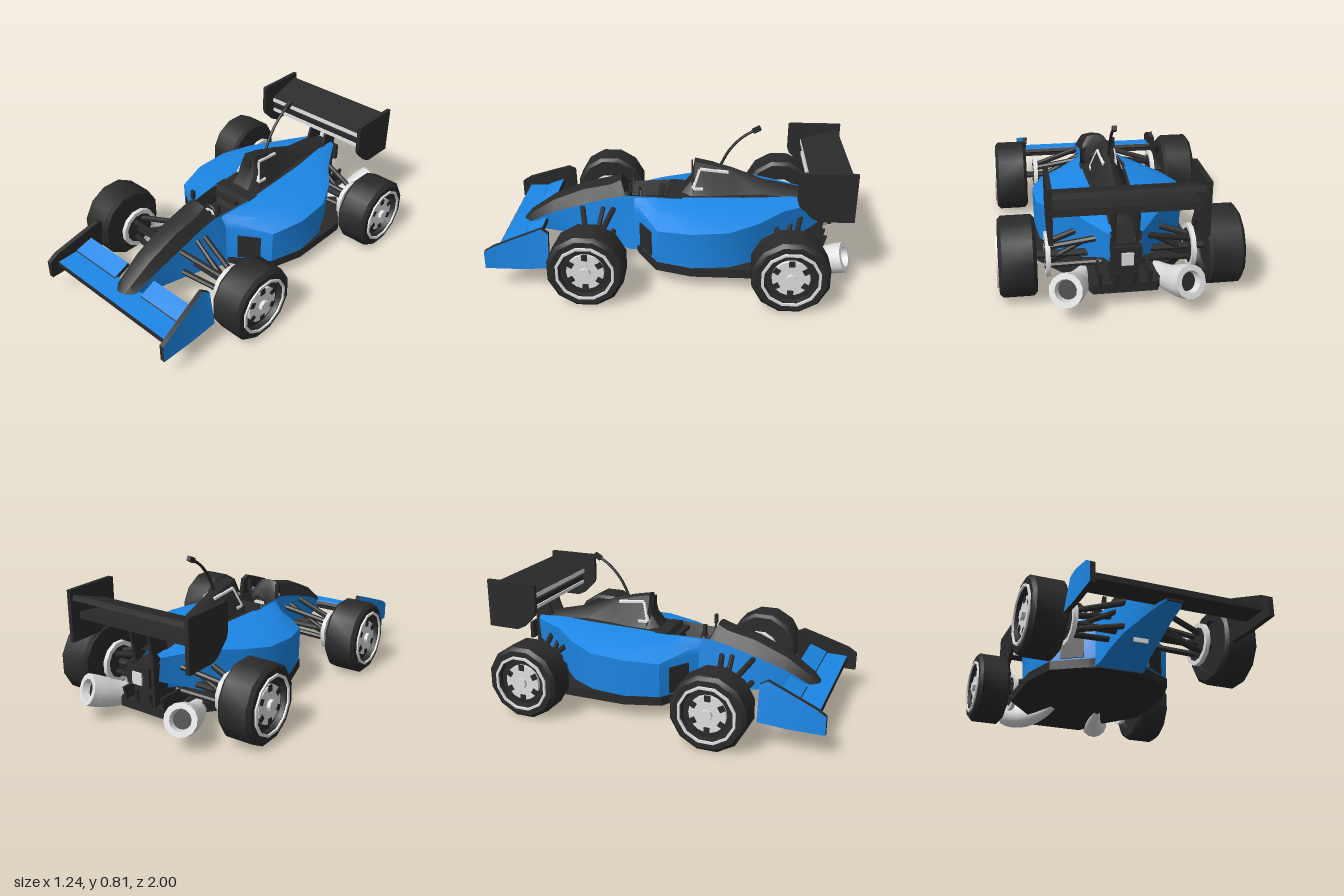
import * as THREE from 'three';
import { toCreasedNormals } from 'three/addons/utils/BufferGeometryUtils.js';

const paint = (name, color) => {
  const m = new THREE.MeshStandardMaterial({ color, side: THREE.DoubleSide });
  m.name = name;
  return m;
};
const V = (x, y, z) => new THREE.Vector3(x, y, z);
const box = (w, h, d, x = 0, y = 0, z = 0) => new THREE.BoxGeometry(w, h, d).translate(x, y, z);

export function createModel() {
  const car = new THREE.Group();
  car.name = 'racingCar';
  const black = paint('black', 0x2a2a2a);
  const blue = paint('blue', 0x1c87e6);
  const grey = paint('lightGrey', 0xe0e0e0);

  const add = (name, geo, mat, parent = car) => {
    const m = new THREE.Mesh(toCreasedNormals(geo, 0.6), mat);
    m.name = name;
    parent.add(m);
    return m;
  };
  const pair = (name, geo, mat) => {
    add(name + 'Left', geo, mat);
    add(name + 'Right', geo, mat).scale.x = -1;
  };
  // Straight tube between two points
  const rod = (a, b, r, sides = 8) => {
    const d = b.clone().sub(a), g = new THREE.CylinderGeometry(r, r, d.length(), sides);
    g.applyQuaternion(new THREE.Quaternion().setFromUnitVectors(V(0, 1, 0), d.clone().normalize()));
    const c = a.clone().add(b).multiplyScalar(0.5);
    return g.translate(c.x, c.y, c.z);
  };
  // Mirrored skin over sections [z, [x, y], ...], each running from top to bottom, front to back
  const loft = (sections, from, to, caps = false) => {
    const pos = [];
    const last = sections.length - 1;
    for (const s of [1, -1]) {
      const p = (i, j) => [s * sections[i][j + 1][0], sections[i][j + 1][1], sections[i][0]];
      const tri = (a, b, c) => pos.push(...a, ...(s > 0 ? b : c), ...(s > 0 ? c : b));
      for (let j = from; j < to; j++) {
        for (let i = 0; i < last; i++) {
          tri(p(i, j), p(i, j + 1), p(i + 1, j + 1));
          tri(p(i, j), p(i + 1, j + 1), p(i + 1, j));
        }
        if (caps) {
          tri(p(0, from), p(0, j + 1), p(0, j));
          tri(p(last, from), p(last, j), p(last, j + 1));
        }
      }
    }
    const g = new THREE.BufferGeometry();
    g.setAttribute('position', new THREE.Float32BufferAttribute(pos, 3));
    return g;
  };
  // Upright plate from a (z, y) outline, starting at x and growing inward
  const plate = (pts, x, t) => {
    const shape = new THREE.Shape(pts.map(q => new THREE.Vector2(q[0], q[1])));
    return new THREE.ExtrudeGeometry(shape, { depth: t, bevelEnabled: false })
      .rotateY(-Math.PI / 2).translate(x, 0, 0);
  };
  // Sloping slab between a front and a back edge
  const slab = (w, x, yF, zF, yB, zB, t, lift = 0) =>
    box(w, t, Math.hypot(yB - yF, zF - zB), 0, lift, 0)
      .rotateX(Math.atan2(yB - yF, zF - zB)).translate(x, (yF + yB) / 2, (zF + zB) / 2);

  // Nose and tub: black top, sunken cockpit, blue flanks
  const tub = [
    [0.895, [0, 0.195], [0.02, 0.193], [0.042, 0.178], [0.036, 0.172], [0, 0.17]],
    [0.84, [0, 0.26], [0.04, 0.25], [0.066, 0.21], [0.055, 0.168], [0, 0.168]],
    [0.70, [0, 0.355], [0.05, 0.345], [0.087, 0.285], [0.075, 0.165], [0, 0.165]],
    [0.52, [0, 0.432], [0.055, 0.422], [0.095, 0.345], [0.105, 0.15], [0, 0.15]],
    [0.36, [0, 0.467], [0.06, 0.46], [0.095, 0.39], [0.12, 0.12], [0, 0.12]],
    [0.30, [0, 0.495], [0.05, 0.485], [0.095, 0.4], [0.125, 0.1], [0, 0.1]],
    [0.27, [0, 0.43], [0.06, 0.43], [0.1, 0.41], [0.13, 0.09], [0, 0.09]],
    [0.25, [0, 0.32], [0.07, 0.33], [0.1, 0.41], [0.135, 0.085], [0, 0.085]],
    [0.06, [0, 0.32], [0.09, 0.33], [0.12, 0.415], [0.15, 0.085], [0, 0.085]],
    [0.02, [0, 0.42], [0.08, 0.42], [0.13, 0.415], [0.15, 0.1], [0, 0.1]],
    [-0.40, [0, 0.43], [0.06, 0.43], [0.13, 0.415], [0.14, 0.1], [0, 0.1]],
    [-0.83, [0, 0.41], [0.03, 0.41], [0.06, 0.4], [0.05, 0.22], [0, 0.2]],
  ];
  add('noseTop', loft(tub, 0, 2), black);
  add('tubSides', loft(tub, 2, 4, true), blue);
  add('noseTip', box(0.09, 0.03, 0.008, 0, 0.182, 0.896), black);
  add('underNosePlate', box(0.08, 0.045, 0.008, 0, 0.146, 0.5), grey);

  // Sidepods sweeping in toward the tail
  const pods = [
    [0.22, [0.1, 0.40], [0.13, 0.36], [0.14, 0.33], [0.14, 0.13]],
    [0.19, [0.11, 0.405], [0.15, 0.365], [0.17, 0.33], [0.17, 0.13]],
    [0.07, [0.12, 0.41], [0.24, 0.38], [0.355, 0.325], [0.35, 0.13]],
    [-0.12, [0.12, 0.42], [0.28, 0.395], [0.41, 0.34], [0.405, 0.13]],
    [-0.32, [0.11, 0.42], [0.27, 0.4], [0.4, 0.35], [0.385, 0.13]],
    [-0.48, [0.1, 0.42], [0.23, 0.405], [0.32, 0.37], [0.3, 0.13]],
    [-0.62, [0.08, 0.42], [0.14, 0.415], [0.205, 0.39], [0.18, 0.16]],
    [-0.83, [0.05, 0.41], [0.065, 0.405], [0.085, 0.39], [0.07, 0.26]],
  ];
  add('sidepods', loft(pods, 0, 3), blue);
  pair('sidepodIntake', box(0.13, 0.15, 0.008).rotateY(0.585).translate(0.245, 0.215, 0.143), black);

  // Flat floor with swept outline
  const half = [[0.12, 0.21], [0.17, 0.19], [0.35, 0.08], [0.41, -0.12], [0.41, -0.48], [0.23, -0.7], [0.16, -0.86]];
  const outline = [...half, ...half.map(([x, z]) => [-x, z]).reverse()];
  const floorShape = new THREE.Shape(outline.map(([x, z]) => new THREE.Vector2(x, -z)));
  add('floor', new THREE.ExtrudeGeometry(floorShape, { depth: 0.05, bevelEnabled: false })
    .rotateX(-Math.PI / 2).translate(0, 0.08, 0), black);

  // Engine cover with air scoop, trim and aerial
  const cover = [
    [-0.045, [0, 0.425], [0.06, 0.42], [0.1, 0.41]],
    [-0.10, [0, 0.5], [0.05, 0.49], [0.1, 0.415]],
    [-0.12, [0, 0.61], [0.032, 0.6], [0.098, 0.42]],
    [-0.22, [0, 0.59], [0.03, 0.58], [0.1, 0.42]],
    [-0.33, [0, 0.56], [0.024, 0.545], [0.09, 0.425]],
    [-0.50, [0, 0.495], [0.022, 0.485], [0.07, 0.425]],
    [-0.78, [0, 0.425], [0.03, 0.42], [0.075, 0.405]],
  ];
  add('engineCover', loft(cover, 0, 2), black);
  add('scoopMouth', box(0.05, 0.07, 0.008, 0, 0.555, -0.105), black);
  const trim = [V(0.082, 0.455, -0.17), V(0.078, 0.455, -0.115), V(0.042, 0.56, -0.15), V(0.031, 0.54, -0.31)];
  for (let i = 0; i < 3; i++) pair('coverTrim' + i, rod(trim[i], trim[i + 1], 0.011, 6), grey);
  const aerial = new THREE.CatmullRomCurve3([V(0, 0.57, -0.265), V(0, 0.66, -0.31), V(0, 0.74, -0.38), V(0, 0.79, -0.455)]);
  add('aerial', new THREE.TubeGeometry(aerial, 10, 0.008, 8), black);
  add('aerialTip', box(0.022, 0.026, 0.045).rotateX(0.5).translate(0, 0.79, -0.46), black);

  // Cockpit fittings
  add('steeringWheel', new THREE.TorusGeometry(0.042, 0.009, 6, 14).translate(0, 0.37, 0.2), black);
  add('steeringSpokes', box(0.075, 0.016, 0.012, 0, 0.375, 0.2), grey);
  add('steeringCentre', box(0.018, 0.04, 0.012, 0, 0.355, 0.2), grey);
  add('steeringColumn', rod(V(0, 0.37, 0.2), V(0, 0.38, 0.28), 0.012), black);
  add('seatBar', box(0.16, 0.02, 0.03, 0, 0.4, 0.07), black);
  pair('mirror', box(0.022, 0.05, 0.018, 0.098, 0.465, 0.24), black);
  pair('mirrorStalk', rod(V(0.085, 0.40, 0.24), V(0.1, 0.45, 0.24), 0.007), black);

  // Front wing, raised between its endplates
  add('frontWing', slab(0.9, 0, 0.193, 0.95, 0.197, 0.805, 0.03), black);
  add('frontWingTop', slab(0.9, 0, 0.193, 0.947, 0.197, 0.805, 0.004, 0.015), blue);
  pair('frontFlap', slab(0.34, 0.275, 0.205, 0.825, 0.25, 0.725, 0.022), black);
  pair('frontFlapTop', slab(0.34, 0.275, 0.2075, 0.82, 0.25, 0.725, 0.005, 0.012), blue);
  const lean = g => {
    const p = g.attributes.position;
    for (let i = 0; i < p.count; i++) p.setX(i, p.getX(i) - Math.max(0, p.getY(i) - 0.265) * 0.42);
    return g;
  };
  const fin = [[1, 0.13], [1, 0.23], [0.95, 0.262], [0.78, 0.325], [0.69, 0.357], [0.65, 0.335], [0.65, 0.14], [0.8, 0.13]];
  pair('frontEndplate', lean(plate(fin, 0.464, 0.024)), black);
  pair('frontEndplateSkin', lean(plate(fin, 0.467, 0.003)), [blue, black]);

  // Rear wing
  add('rearWingUpper', slab(0.73, 0, 0.588, -0.75, 0.655, -0.96, 0.028), black);
  add('rearWingUpperEdge', box(0.72, 0.026, 0.008, 0, 0.586, -0.748), grey);
  add('rearWingLower', slab(0.73, 0, 0.535, -0.76, 0.553, -0.92, 0.035), black);
  add('rearWingLowerEdge', box(0.72, 0.02, 0.008, 0, 0.511, -0.756), grey);
  pair('rearEndplate', plate([[-0.67, 0.69], [-0.68, 0.695], [-0.975, 0.695], [-0.975, 0.42], [-0.79, 0.42], [-0.75, 0.44], [-0.68, 0.51], [-0.67, 0.54]], 0.377, 0.022), black);
  pair('rearWingStrut', plate([[-0.74, 0.4], [-0.79, 0.55], [-0.89, 0.55], [-0.85, 0.34]], 0.065, 0.016), black);

  // Gearbox, tail lamp and diffuser
  add('gearbox', box(0.13, 0.24, 0.18, 0, 0.23, -0.77), black);
  add('tailPlate', box(0.14, 0.1, 0.02, 0, 0.3, -0.895), black);
  add('tailStem', box(0.05, 0.06, 0.06, 0, 0.29, -0.87), black);
  add('tailLamp', box(0.06, 0.065, 0.01, 0, 0.29, -0.908), grey);
  for (const x of [0.05, 0.13])
    pair('diffuserFin' + x * 100, plate([[-0.68, 0.085], [-0.86, 0.12], [-0.88, 0.2], [-0.68, 0.2]], x, 0.014), black);

  // Flared exhausts: a tube widened along its path
  const path = new THREE.CatmullRomCurve3([V(0.14, 0.09, -0.48), V(0.18, 0.085, -0.64), V(0.24, 0.106, -0.8), V(0.302, 0.17, -0.957)]);
  const pipe = (r0, r1) => {
    const g = new THREE.TubeGeometry(path, 12, 1, 14), p = g.attributes.position, v = V(0, 0, 0);
    for (let i = 0; i < p.count; i++) {
      const t = Math.floor(i / 15) / 12, c = path.getPointAt(t);
      v.fromBufferAttribute(p, i).sub(c).multiplyScalar(r0 + (r1 - r0) * Math.min(1, t * 1.15)).add(c);
      p.setXYZ(i, v.x, v.y, v.z);
    }
    return g;
  };
  pair('exhaust', pipe(0.02, 0.084), grey);
  const toMouth = g => {
    const e = path.getPointAt(1);
    return g.applyQuaternion(new THREE.Quaternion().setFromUnitVectors(V(0, 0, 1), path.getTangentAt(1))).translate(e.x, e.y, e.z);
  };
  pair('exhaustLip', toMouth(new THREE.RingGeometry(0.055, 0.084, 14)), grey);
  pair('exhaustBore', toMouth(new THREE.CylinderGeometry(0.055, 0.045, 0.06, 14, 1, true).rotateX(Math.PI / 2).translate(0, 0, -0.03)), grey);
  pair('exhaustInside', toMouth(new THREE.CircleGeometry(0.05, 14).translate(0, 0, -0.04)), black);

  // Wheels, turned around the x axis
  const turn = pts => new THREE.LatheGeometry(pts.map(q => new THREE.Vector2(q[0], q[1])), 12, Math.PI / 12).rotateZ(-Math.PI / 2);
  const tyre = turn([[0.135, -0.07], [0.14, -0.093], [0.19, -0.093], [0.209, -0.075], [0.209, 0.075], [0.19, 0.093], [0.14, 0.093], [0.135, 0.07]]);
  const ring = turn([[0.143, 0.085], [0.145, 0.102], [0.158, 0.102], [0.16, 0.09]]);
  const brake = turn([[0.092, -0.012], [0.117, -0.012], [0.117, 0.012], [0.092, 0.012], [0.092, -0.012]]);
  const disc = (r, h, x, n = 18) => new THREE.CylinderGeometry(r, r, h, n).rotateZ(-Math.PI / 2).translate(x, 0, 0);
  for (const [end, z] of [['front', 0.43], ['rear', -0.64]]) {
    for (const s of [1, -1]) {
      const w = new THREE.Group();
      w.name = end + (s > 0 ? 'Left' : 'Right') + 'Wheel';
      w.position.set(s * 0.518, 0.202, z);
      w.scale.x = s;
      car.add(w);
      add('tyre', tyre, black, w);
      add('rimRing', ring, grey, w);
      add('rimDish', disc(0.142, 0.12, 0), black, w);
      add('hub', disc(0.1, 0.03, 0.065), grey, w);
      add('hubCap', disc(0.03, 0.02, 0.09, 8), grey, w);
      add('brakeRing', brake, grey, w).position.x = -0.151;
      for (let i = 0; i < 6; i++)
        add('hubNotch', box(0.008, 0.032, 0.032, 0.08, 0.087, 0).rotateX(i * Math.PI / 3), black, w);
    }
    // Axle, brake drum and wishbones
    pair(end + 'Axle', rod(V(0.08, 0.2, z), V(0.44, 0.2, z), 0.02), black);
    pair(end + 'BrakeDrum', disc(0.093, 0.018, 0.367).translate(0, 0.202, z), black);
    for (const dz of [0.09, -0.09]) {
      pair(end + 'UpperArm', rod(V(0.09, 0.325, z + dz), V(0.38, 0.25, z + dz * 0.25), 0.016), black);
      pair(end + 'LowerArm', rod(V(0.1, 0.19, z + dz), V(0.38, 0.15, z + dz * 0.25), 0.016), black);
    }
    pair(end + 'Pushrod', rod(V(0.09, 0.33, z - 0.03), V(0.36, 0.17, z), 0.014), black);
  }
  return car;
}
